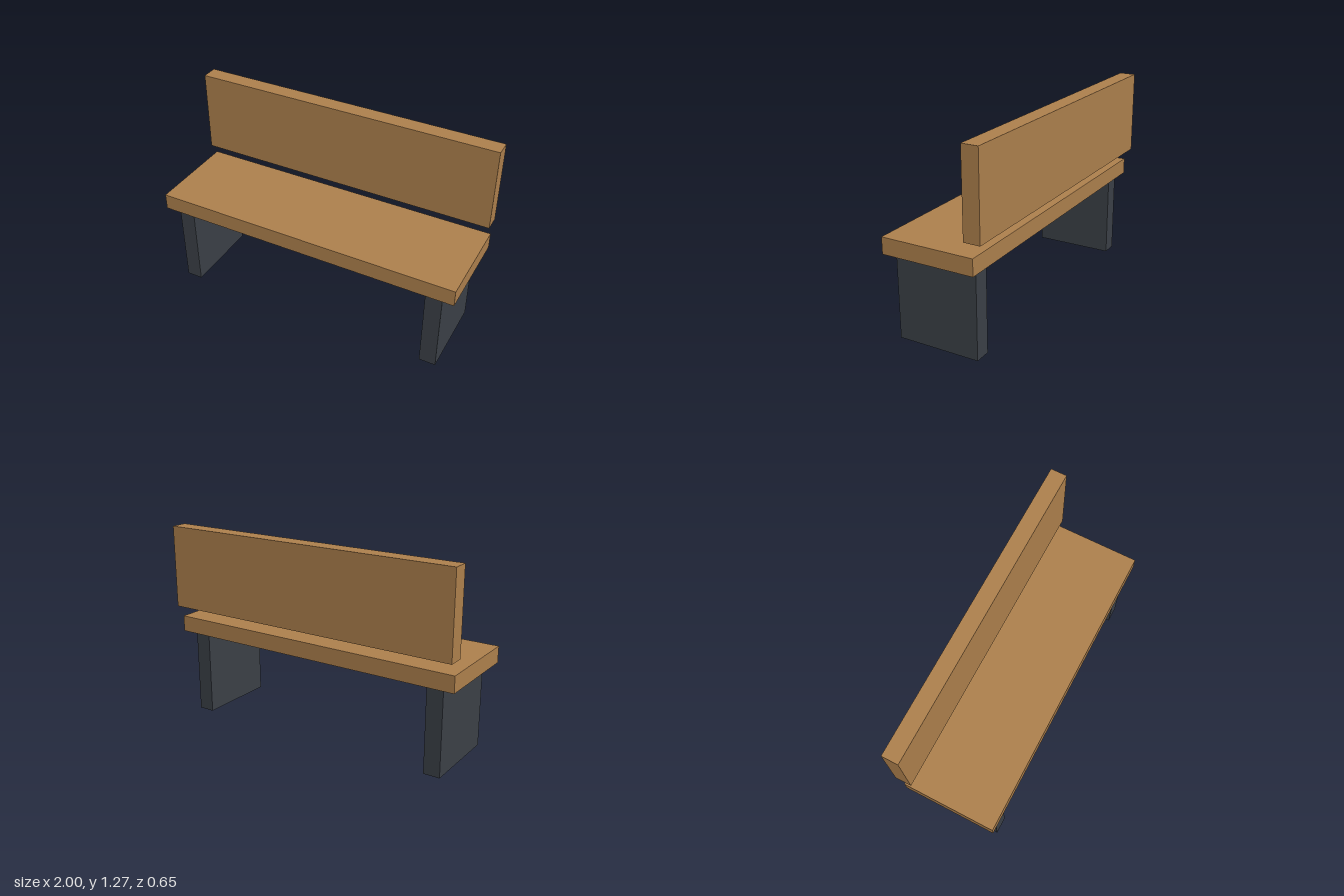
import * as THREE from 'three';

export function createModel() {
  const bench = new THREE.Group();
  bench.name = 'bench';

  const wood = new THREE.MeshStandardMaterial({ color: 0xb0824e });
  wood.name = 'wood';
  const darkMetal = new THREE.MeshStandardMaterial({ color: 0x3c4148 });
  darkMetal.name = 'darkMetal';

  // Box given by its min and max corners
  function slab(name, material, [x0, y0, z0], [x1, y1, z1]) {
    const mesh = new THREE.Mesh(new THREE.BoxGeometry(x1 - x0, y1 - y0, z1 - z0), material);
    mesh.position.set((x0 + x1) / 2, (y0 + y1) / 2, (z0 + z1) / 2);
    mesh.name = name;
    bench.add(mesh);
  }

  // Seat plank and the floating backrest behind it
  slab('seat', wood, [-1, 0.555, -0.275], [1, 0.66, 0.323]);
  slab('backrest', wood, [-1, 0.74, -0.323], [1, 1.275, -0.218]);

  // Slab legs near each end
  for (const [name, x] of [['leftLeg', 0.866], ['rightLeg', -0.866]]) {
    slab(name, darkMetal, [x - 0.053, 0, -0.24], [x + 0.053, 0.555, 0.29]);
  }

  return bench;
}
